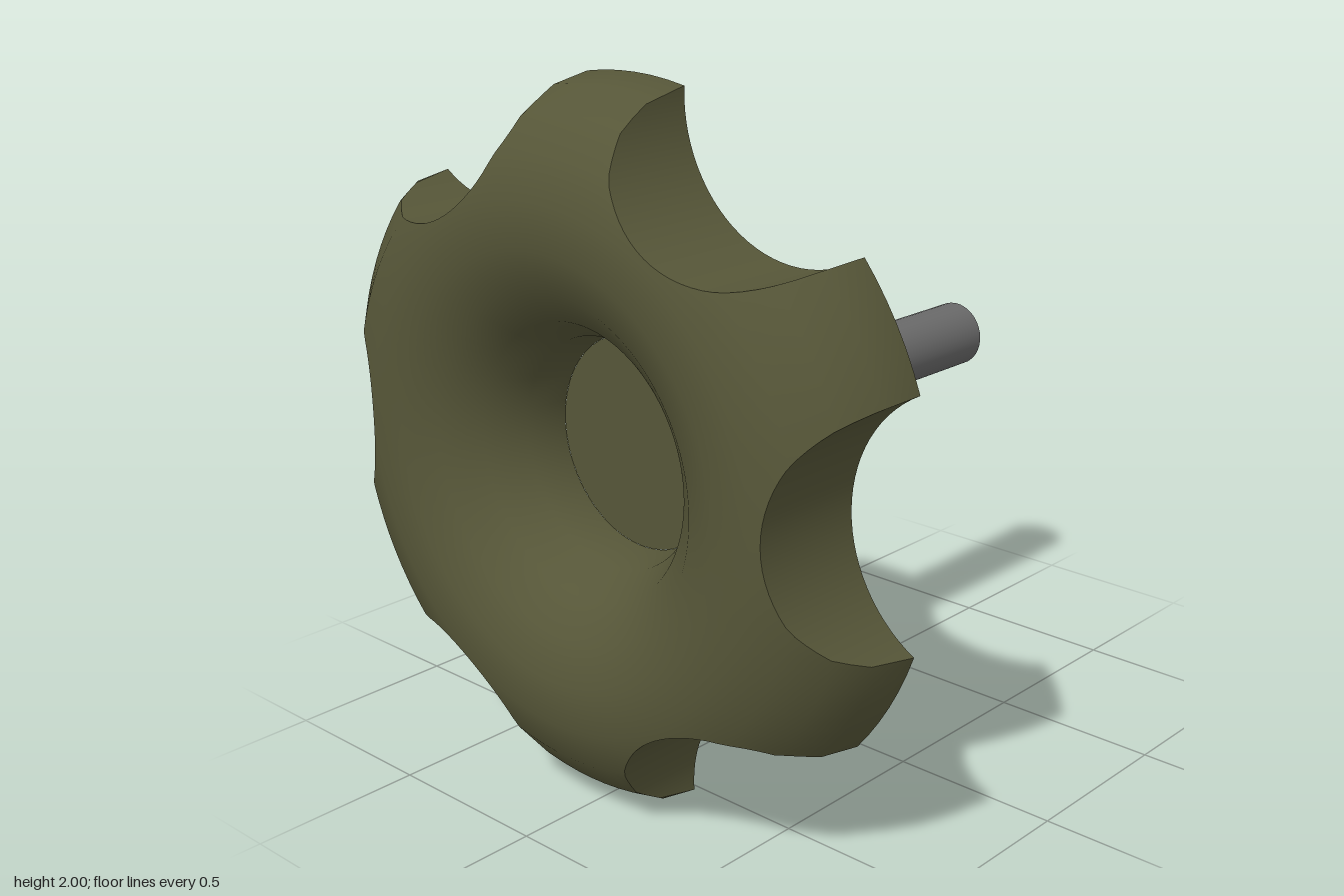
import * as THREE from 'three';

const BACK = 0.54;      // plane of the knob's flat back
const CREST = 0.65;     // radius of the rounded ring's crest
const ROUND = 0.35;     // radius of the ring's half-round section
const FACETS = 9;
const SCALLOP_R = 0.38, SCALLOP_D = 1.11;

// Half-round section of the ring, from the inner wall out to the rim
const profile = Array.from({ length: FACETS + 1 }, (_, j) => {
  const a = -Math.PI / 2 + (j * Math.PI) / FACETS;
  return { r: CREST + ROUND * Math.sin(a), z: BACK + ROUND * Math.cos(a) };
});

function heightAt(r) {
  for (let j = 0; j < FACETS; j++) {
    const p = profile[j], q = profile[j + 1];
    if (r <= q.r) return p.z + ((q.z - p.z) * (r - p.r)) / (q.r - p.r);
  }
  return BACK;
}

function surface(positions, normals, index) {
  const g = new THREE.BufferGeometry();
  g.setAttribute('position', new THREE.Float32BufferAttribute(positions, 3));
  g.setAttribute('normal', new THREE.Float32BufferAttribute(normals, 3));
  g.setIndex(index);
  return g;
}

// Six finger scallops, each an arc of points running counterclockwise
function makeScallops(steps = 28) {
  return Array.from({ length: 6 }, (_, k) => {
    const a = (k * Math.PI) / 3;
    const centre = new THREE.Vector2(SCALLOP_D * Math.cos(a) + 0.008, SCALLOP_D * Math.sin(a));
    const d = centre.length(), mid = Math.atan2(centre.y, centre.x);
    const half = Math.acos((d * d + SCALLOP_R ** 2 - 1) / (2 * d * SCALLOP_R));
    const points = [];
    for (let i = 0; i <= steps; i++) {
      const b = mid + Math.PI + half * (1 - (2 * i) / steps);
      points.push(new THREE.Vector2(centre.x + SCALLOP_R * Math.cos(b), centre.y + SCALLOP_R * Math.sin(b)));
    }
    return { centre, points };
  });
}

// Whole outline: scallops joined by short arcs of the rim
function makeOutline(scallops) {
  const outline = [];
  scallops.forEach(({ points }, k) => {
    outline.push(...points);
    const end = points[points.length - 1], next = scallops[(k + 1) % 6].points[0];
    const a = Math.atan2(end.y, end.x);
    const sweep = (Math.atan2(next.y, next.x) - a + 4 * Math.PI) % (2 * Math.PI);
    for (let i = 1; i < 6; i++) {
      const t = a + (sweep * i) / 6;
      outline.push(new THREE.Vector2(Math.cos(t), Math.sin(t)));
    }
  });
  return outline;
}

// Rounded front, trimmed by the outline
function frontGeometry(outline) {
  const pos = [], nor = [], idx = [], n = outline.length, row = FACETS + 1;
  outline.forEach((p, i) => {
    const limit = Math.min(p.length(), 1), c = p.x / p.length(), s = p.y / p.length();
    profile.forEach((q, j) => {
      const r = Math.min(q.r, limit);
      const out = THREE.MathUtils.clamp((r - CREST) / ROUND, -1, 1);
      pos.push(r * c, r * s, heightAt(r));
      nor.push(out * c, out * s, Math.sqrt(1 - out * out));
      if (j < FACETS) {
        const a = i * row + j, b = ((i + 1) % n) * row + j;
        idx.push(a, a + 1, b + 1, a, b + 1, b);
      }
    });
  });
  return surface(pos, nor, idx);
}

// Curved wall of one scallop
function scallopGeometry({ centre, points }) {
  const pos = [], nor = [], idx = [];
  points.forEach((p, i) => {
    const n = centre.clone().sub(p).normalize();
    pos.push(p.x, p.y, BACK, p.x, p.y, heightAt(p.length()));
    nor.push(n.x, n.y, 0, n.x, n.y, 0);
    if (i < points.length - 1) {
      const a = 2 * i;
      idx.push(a, a + 2, a + 3, a, a + 3, a + 1);
    }
  });
  return surface(pos, nor, idx);
}

export function createModel() {
  const olive = new THREE.MeshStandardMaterial({ color: 0x565638 });
  olive.name = 'olive';
  const steel = new THREE.MeshStandardMaterial({ color: 0x696969 });
  steel.name = 'steel grey';

  const model = new THREE.Group();
  model.name = 'handKnob';
  model.position.y = 1;
  const add = (name, geometry, material, x = 0, z = 0) => {
    const mesh = new THREE.Mesh(geometry, material);
    mesh.name = name;
    mesh.position.set(x, 0, z);
    model.add(mesh);
    return mesh;
  };

  // Lobed grip
  const scallops = makeScallops();
  const outline = makeOutline(scallops);
  add('gripFront', frontGeometry(outline), olive);
  scallops.forEach((s) => add('fingerScallop', scallopGeometry(s), olive));
  add('hollowFloor', new THREE.CircleGeometry(CREST - ROUND, 48), olive, 0, BACK);

  // Flat back, mirrored in x so it can be turned to face -z
  const backShape = new THREE.Shape(outline.map((p) => new THREE.Vector2(-p.x, p.y)));
  add('gripBack', new THREE.ShapeGeometry(backShape).rotateY(Math.PI), olive, 0, BACK);

  // Tapered hub with its end face
  add('hub', new THREE.CylinderGeometry(0.37, 0.18, BACK, 48, 1, true).rotateX(Math.PI / 2), olive, -0.01, BACK / 2);
  add('hubEnd', new THREE.CircleGeometry(0.18, 48).rotateY(Math.PI), olive, -0.01, 0);

  // Shaft
  add('shaft', new THREE.CylinderGeometry(0.1, 0.1, 0.885, 32).rotateX(Math.PI / 2), steel, -0.01, -0.4425);

  const root = new THREE.Group();
  root.name = 'knobModel';
  root.add(model);
  return root;
}
